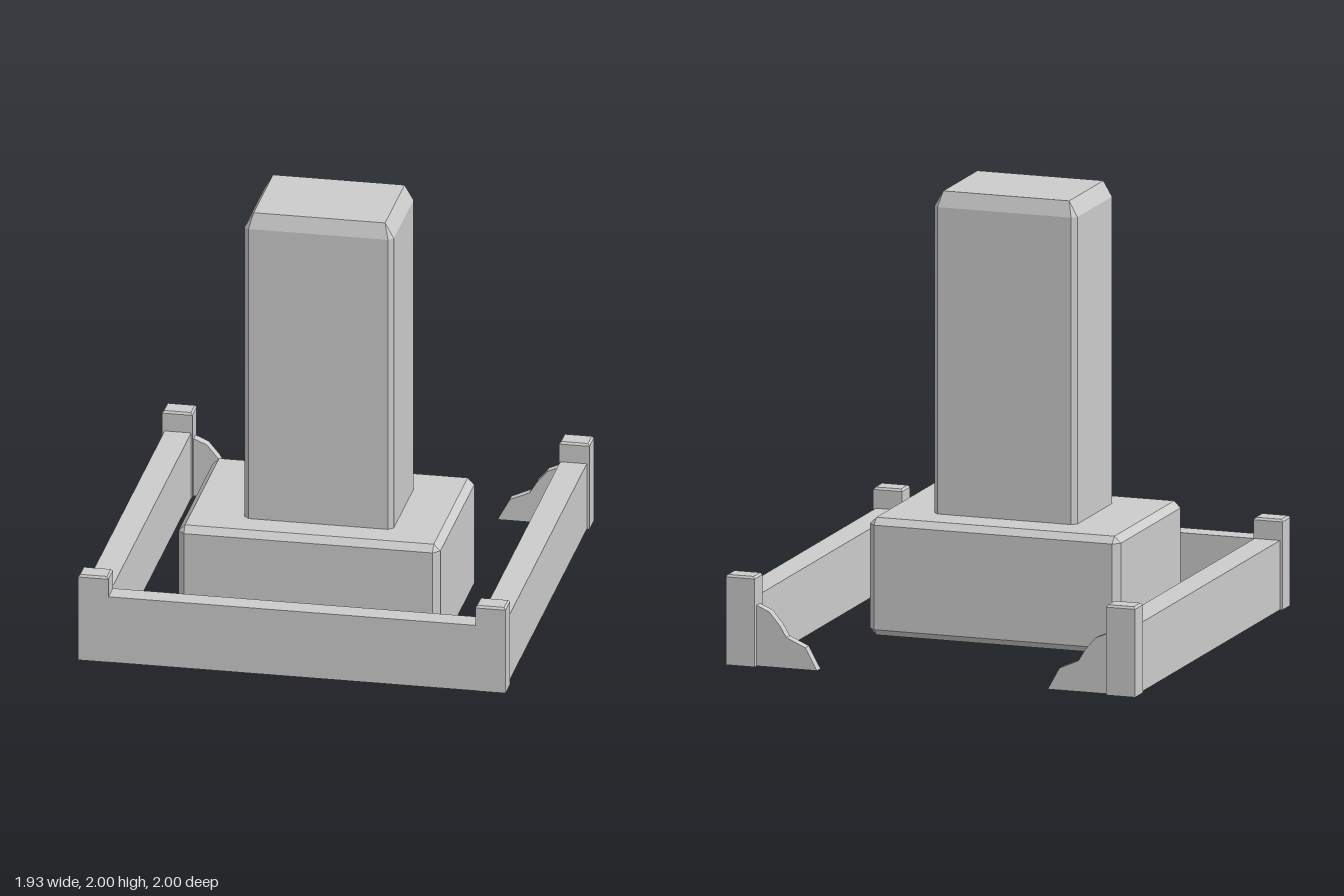
import * as THREE from 'three';
import { ConvexGeometry } from 'three/addons/geometries/ConvexGeometry.js';

const material = new THREE.MeshStandardMaterial({ color: 0xcccccc, flatShading: true });

// Box from min to max; levels are [y, insetX, insetZ] rings with cut corners.
function chamferedBlock(name, [x0, x1], [z0, z1], corner, levels) {
  const points = [];
  for (const [y, ix, iz] of levels) {
    const cx = Math.max(corner - ix, 0), cz = Math.max(corner - iz, 0);
    for (const [x, sx] of [[x0 + ix, 1], [x1 - ix, -1]]) {
      for (const [z, sz] of [[z0 + iz, 1], [z1 - iz, -1]]) {
        points.push(new THREE.Vector3(x + sx * cx, y, z));
        if (cx || cz) points.push(new THREE.Vector3(x, y, z + sz * cz));
      }
    }
  }
  const mesh = new THREE.Mesh(new ConvexGeometry(points), material);
  mesh.name = name;
  return mesh;
}

function box(name, [x0, x1], [y0, y1], [z0, z1]) {
  const mesh = new THREE.Mesh(new THREE.BoxGeometry(x1 - x0, y1 - y0, z1 - z0), material);
  mesh.position.set((x0 + x1) / 2, (y0 + y1) / 2, (z0 + z1) / 2);
  mesh.name = name;
  return mesh;
}

// Stepped bracket reaching inwards from a rear post
function bracket(name, side) {
  const profile = [[0.84, 0.01], [0.84, 0.29], [0.77, 0.26], [0.72, 0.2],
    [0.69, 0.15], [0.6, 0.11], [0.545, 0.01]];
  const shape = new THREE.Shape(profile.map(([x, y]) => new THREE.Vector2(side * x, y)));
  const mesh = new THREE.Mesh(
    new THREE.ExtrudeGeometry(shape, { depth: 0.045, bevelEnabled: false }), material);
  mesh.position.z = -0.975;
  mesh.name = name;
  return mesh;
}

export function createModel() {
  const model = new THREE.Group();
  model.name = 'monument';

  // Plinth and pillar
  model.add(chamferedBlock('plinth', [-0.59, 0.595], [-0.185, 0.645], 0.03,
    [[0, 0.03, 0.03], [0.03, 0, 0], [0.505, 0, 0], [0.535, 0.03, 0.03]]));
  model.add(chamferedBlock('pillar', [-0.32, 0.355], [0, 0.49], 0.022,
    [[0.53, 0, 0], [1.93, 0, 0], [2, 0.04, 0.025]]));

  // Low surround, open at the back
  model.add(box('frontRail', [-0.84, 0.84], [0.01, 0.325], [0.9, 0.998]));
  for (const [sideName, side] of [['left', 1], ['right', -1]]) {
    const span = (a, b) => (side > 0 ? [a, b] : [-b, -a]);
    model.add(box(sideName + 'Rail', span(0.835, 0.955), [0.01, 0.325], [-0.91, 0.91]));
    for (const [endName, z] of [['Front', [0.9, 1]], ['Rear', [-1, -0.9]]]) {
      model.add(chamferedBlock(sideName + endName + 'Post', span(0.83, 0.967), z, 0,
        [[0.01, 0, 0], [0.41, 0, 0], [0.42, 0.008, 0.008]]));
    }
    model.add(bracket(sideName + 'Bracket', side));
  }
  return model;
}
